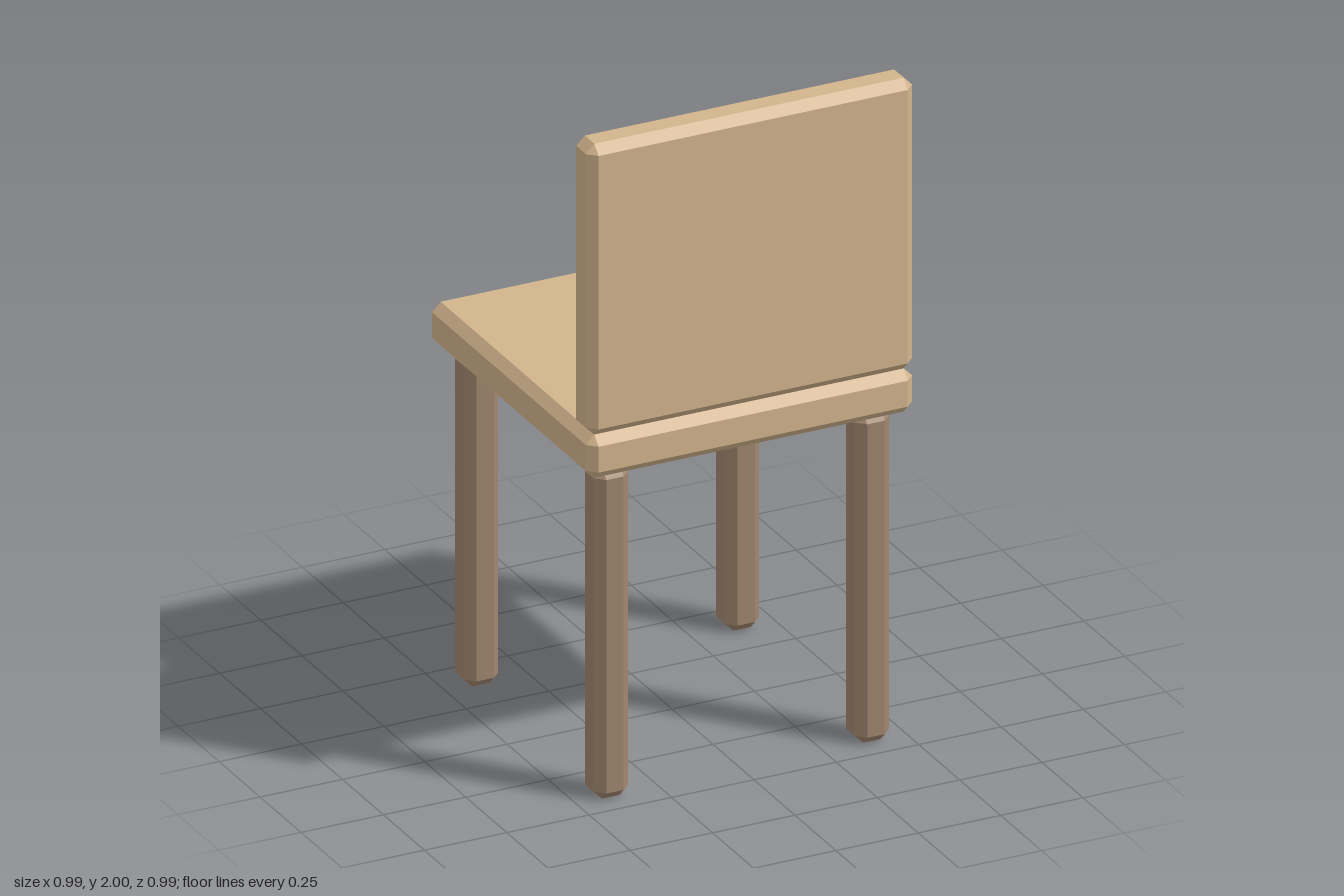
import * as THREE from 'three';
import { ConvexGeometry } from 'three/addons/geometries/ConvexGeometry.js';

const CHAMFER = 0.026;

// Box with every edge and corner cut flat
function chamferedBox(width, height, depth, c = CHAMFER) {
  const x = width / 2, y = height / 2, z = depth / 2;
  const points = [];
  for (const sx of [-1, 1]) for (const sy of [-1, 1]) for (const sz of [-1, 1]) {
    points.push(
      new THREE.Vector3(sx * x, sy * (y - c), sz * (z - c)),
      new THREE.Vector3(sx * (x - c), sy * y, sz * (z - c)),
      new THREE.Vector3(sx * (x - c), sy * (y - c), sz * z)
    );
  }
  return new ConvexGeometry(points);
}

export function createModel() {
  const group = new THREE.Group();
  group.name = 'chair';
  const panelWood = new THREE.MeshStandardMaterial({ color: 0xd2b48c, flatShading: true });
  const legWood = new THREE.MeshStandardMaterial({ color: 0xa0866e, flatShading: true });

  const add = (name, geometry, material, x, y, z) => {
    const mesh = new THREE.Mesh(geometry, material);
    mesh.name = name;
    mesh.position.set(x, y, z);
    group.add(mesh);
  };

  const size = 0.99, legHeight = 0.995, seatHeight = 0.13, backDepth = 0.11;
  const seatTop = legHeight + seatHeight, backHeight = 2 - seatTop;

  // Seat and backrest, flush along the +z edge
  add('seat', chamferedBox(size, seatHeight, size), panelWood, 0, legHeight + seatHeight / 2, 0);
  add('backrest', chamferedBox(size, backHeight, backDepth), panelWood,
    0, seatTop + backHeight / 2, (size - backDepth) / 2);

  // Four legs
  const legGeometry = chamferedBox(0.105, legHeight, 0.105);
  for (const [side, x] of [['Left', 0.396], ['Right', -0.396]])
    for (const [end, z] of [['front', 0.396], ['back', -0.396]])
      add(`${end}${side}Leg`, legGeometry, legWood, x, legHeight / 2, z);

  return group;
}
